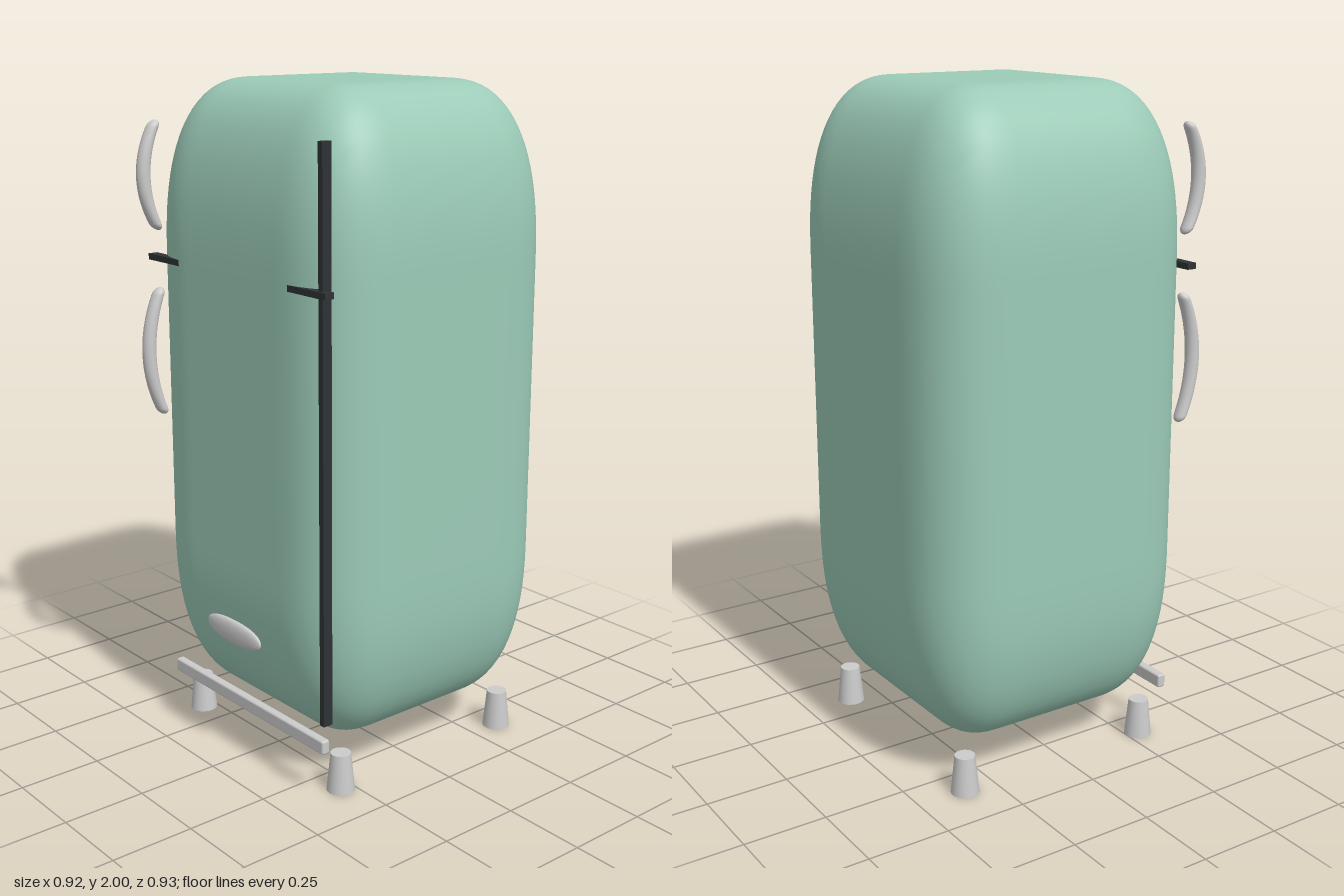
import * as THREE from 'three';
import { mergeVertices } from 'three/addons/utils/BufferGeometryUtils.js';
import { RoundedBoxGeometry } from 'three/addons/geometries/RoundedBoxGeometry.js';

const enamel = new THREE.MeshStandardMaterial({ color: 0x9ccbb8 });
const dark = new THREE.MeshStandardMaterial({ color: 0x2f3335 });
const grey = new THREE.MeshStandardMaterial({ color: 0xcccccc });

// Box with superelliptic corners: half sizes and corner radii per axis
function softBox(half, radius, power, segments) {
  const box = new THREE.BoxGeometry(2, 2, 2, segments, segments, segments);
  box.deleteAttribute('uv');
  box.deleteAttribute('normal');
  const geo = mergeVertices(box, 1e-5);
  const pos = geo.attributes.position;
  const flat = 0.4;
  for (let i = 0; i < pos.count; i++) {
    const c = [pos.getX(i), pos.getY(i), pos.getZ(i)];
    const core = c.map(v => THREE.MathUtils.clamp(v, -flat, flat));
    const e = c.map((v, k) => Math.tan((v - core[k]) / (1 - flat) * Math.PI / 4));
    const len = Math.pow(e.reduce((s, v) => s + Math.pow(Math.abs(v), power), 0), 1 / power);
    const p = c.map((v, k) => core[k] / flat * (half[k] - radius[k]) + radius[k] * e[k] / len);
    pos.setXYZ(i, ...p);
  }
  geo.computeVertexNormals();
  return geo;
}

// Upright capsule bowed towards the front
function bowedHandle(height) {
  const r = 0.021;
  const geo = new THREE.CapsuleGeometry(r, height - 2 * r, 8, 20, 24);
  const pos = geo.attributes.position;
  for (let i = 0; i < pos.count; i++) {
    const t = pos.getY(i) / (height / 2);
    pos.setZ(i, pos.getZ(i) * (1 - 0.2 * t * t) + 0.046 * (1 - t * t));
  }
  geo.computeVertexNormals();
  return geo;
}

export function createModel() {
  const model = new THREE.Group();
  const add = (name, geo, mat, x, y, z) => {
    const mesh = new THREE.Mesh(geo, mat);
    mesh.name = name;
    mesh.position.set(x, y, z);
    model.add(mesh);
    return mesh;
  };

  // Rounded cabinet
  add('cabinet', softBox([0.462, 0.94, 0.4325], [0.26, 0.52, 0.25], 2.5, 40), enamel, 0, 1.06, -0.0305);

  // Dark seam between the doors and hinge strip on the left
  add('doorSeam', new THREE.BoxGeometry(0.83, 0.018, 0.03), dark, 0, 1.476, 0.385);
  add('hingeStrip', new THREE.BoxGeometry(0.018, 1.62, 0.03), dark, 0.39, 1.06, 0.379);

  // Door handles
  add('upperHandle', bowedHandle(0.32), grey, -0.365, 1.72, 0.395);
  add('lowerHandle', bowedHandle(0.39), grey, -0.365, 1.195, 0.395);

  // Oval plate low on the door
  add('ovalPlate', softBox([0.13, 0.037, 0.015], [0.13, 0.037, 0.015], 2.3, 20), grey, 0, 0.41, 0.412);

  // Kick rail
  add('kickRail', new RoundedBoxGeometry(0.74, 0.042, 0.027, 3, 0.006), grey, 0, 0.165, 0.363);

  // Tapered feet
  const footGeo = new THREE.CylinderGeometry(0.03, 0.042, 0.117, 24);
  for (const z of [0.29, -0.348]) {
    for (const x of [-0.347, 0.347]) {
      add(`${z > 0 ? 'front' : 'back'}${x > 0 ? 'Left' : 'Right'}Foot`, footGeo, grey, x, 0.0585, z);
    }
  }
  return model;
}
